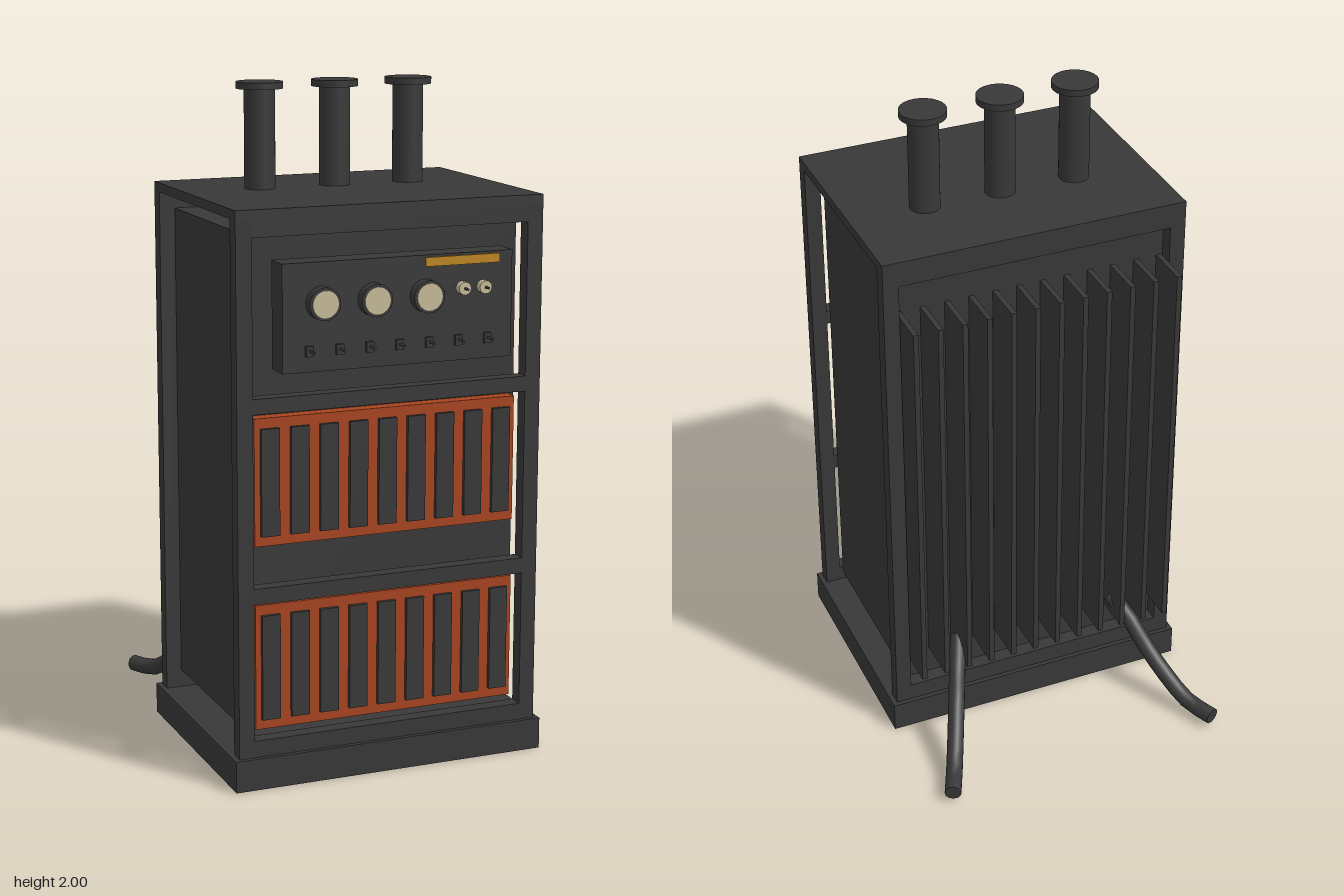
import * as THREE from 'three';

const mat = (name, color, side = THREE.FrontSide) => {
  const m = new THREE.MeshStandardMaterial({ color, side });
  m.name = name;
  return m;
};

export function createModel() {
  const steel = mat('dark steel', 0x383838);
  const rust = mat('orange rust', 0xa84420);
  const cream = mat('cream dial', 0xc6ba98);
  const gold = mat('gold label', 0xbd8620);
  const root = new THREE.Group();

  const add = (name, geo, material, parent = root) => {
    const m = new THREE.Mesh(geo, material);
    m.name = name;
    parent.add(m);
    return m;
  };
  // Box given by its limits on each axis
  const box = (name, [x0, x1], [y0, y1], [z0, z1], material = steel, parent = root) => {
    const m = add(name, new THREE.BoxGeometry(x1 - x0, y1 - y0, z1 - z0), material, parent);
    m.position.set((x0 + x1) / 2, (y0 + y1) / 2, (z0 + z1) / 2);
    return m;
  };
  // Cylinder lying along z, starting at z0
  const rod = (name, x, y, z0, r, len, material, parent = root, sides = 24) => {
    const m = add(name, new THREE.CylinderGeometry(r, r, len, sides), material, parent);
    m.rotation.x = Math.PI / 2;
    m.position.set(x, y, z0 + len / 2);
    return m;
  };

  // Plinth, roof and inner cabinet
  box('base', [-0.488, 0.488], [0, 0.095], [-0.212, 0.526]);
  box('roofPlate', [-0.473, 0.473], [1.66, 1.688], [-0.198, 0.512]);
  box('cabinet', [-0.425, 0.425], [0.15, 1.61], [-0.152, 0.435]);

  // Frame posts and cross beams
  for (const s of [-1, 1]) {
    const x = s < 0 ? [-0.473, -0.425] : [0.425, 0.473];
    box('frontPost', x, [0.095, 1.66], [0.467, 0.512]);
    box('rearPost', x, [0.095, 1.66], [-0.198, -0.152]);
  }
  for (const [a, b] of [[0.095, 0.145], [0.555, 0.602], [1.11, 1.155], [1.61, 1.66]])
    box('frontBeam', [-0.425, 0.425], [a, b], [0.467, 0.512]);
  for (const [a, b] of [[0.095, 0.15], [1.61, 1.66]])
    box('rearBeam', [-0.425, 0.425], [a, b], [-0.198, -0.152]);

  // Two banks of slotted cells
  for (const y of [0.165, 0.715]) {
    const bank = new THREE.Group();
    bank.name = 'cellBank';
    root.add(bank);
    box('cellBacking', [-0.408, 0.408], [y, y + 0.375], [0.43, 0.475], rust, bank);
    for (let i = -4; i <= 4; i++) {
      const x = i * 0.0907;
      box('cell', [x - 0.028, x + 0.028], [y + 0.03, y + 0.345], [0.46, 0.487], steel, bank);
    }
  }

  // Control panel with dials, knobs, label and switches
  const panel = new THREE.Group();
  panel.name = 'controlPanel';
  root.add(panel);
  box('panelBody', [-0.353, 0.353], [1.23, 1.54], [0.475, 0.557], steel, panel);
  for (const x of [-0.237, -0.08, 0.08]) {
    rod('dialBezel', x, 1.425, 0.555, 0.047, 0.034, steel, panel);
    rod('dialFace', x, 1.425, 0.587, 0.039, 0.005, cream, panel);
  }
  for (const x of [0.195, 0.26]) {
    rod('smallKnob', x, 1.44, 0.555, 0.019, 0.025, cream, panel, 16);
    rod('knobPin', x, 1.44, 0.575, 0.004, 0.023, steel, panel, 8);
  }
  box('label', [0.08, 0.312], [1.507, 1.533], [0.556, 0.562], gold, panel);
  for (let i = -3; i <= 3; i++) {
    const x = i * 0.0915;
    box('switchPlate', [x - 0.011, x + 0.011], [1.275, 1.305], [0.555, 0.568], steel, panel);
    rod('switchLever', x, 1.292, 0.565, 0.004, 0.035, steel, panel, 8);
  }

  // Roof stacks with flat caps
  for (const x of [-0.237, 0, 0.237]) {
    const stack = new THREE.Group();
    stack.name = 'stack';
    stack.position.set(x, 0, 0.077);
    root.add(stack);
    add('stackTube', new THREE.CylinderGeometry(0.046, 0.046, 0.3, 24), steel, stack).position.y = 1.835;
    add('stackCap', new THREE.CylinderGeometry(0.07, 0.07, 0.02, 24), steel, stack).position.y = 1.99;
  }

  // Rear cooling fins
  for (let i = 0; i < 12; i++) {
    const x = (i - 5.5) * 0.075;
    box('coolingFin', [x - 0.008, x + 0.008], [0.245, 1.5], [-0.292, -0.15]);
  }

  // Trailing cables: height against distance behind, splayed outwards
  for (const s of [-1, 1]) {
    const pts = [[-0.2, 0.3], [-0.27, 0.25], [-0.33, 0.18], [-0.41, 0.105], [-0.5, 0.045], [-0.59, 0.036]]
      .map(([z, y]) => new THREE.Vector3(s * (0.275 + 0.46 * (-z - 0.225)), y, z));
    const path = new THREE.CatmullRomCurve3(pts);
    add('cable', new THREE.TubeGeometry(path, 10, 0.026, 12), steel);
    const end = add('cableEnd', new THREE.CircleGeometry(0.026, 12), steel);
    end.position.copy(pts[5]);
    end.lookAt(pts[5].clone().add(path.getTangent(1)));
  }
  return root;
}
